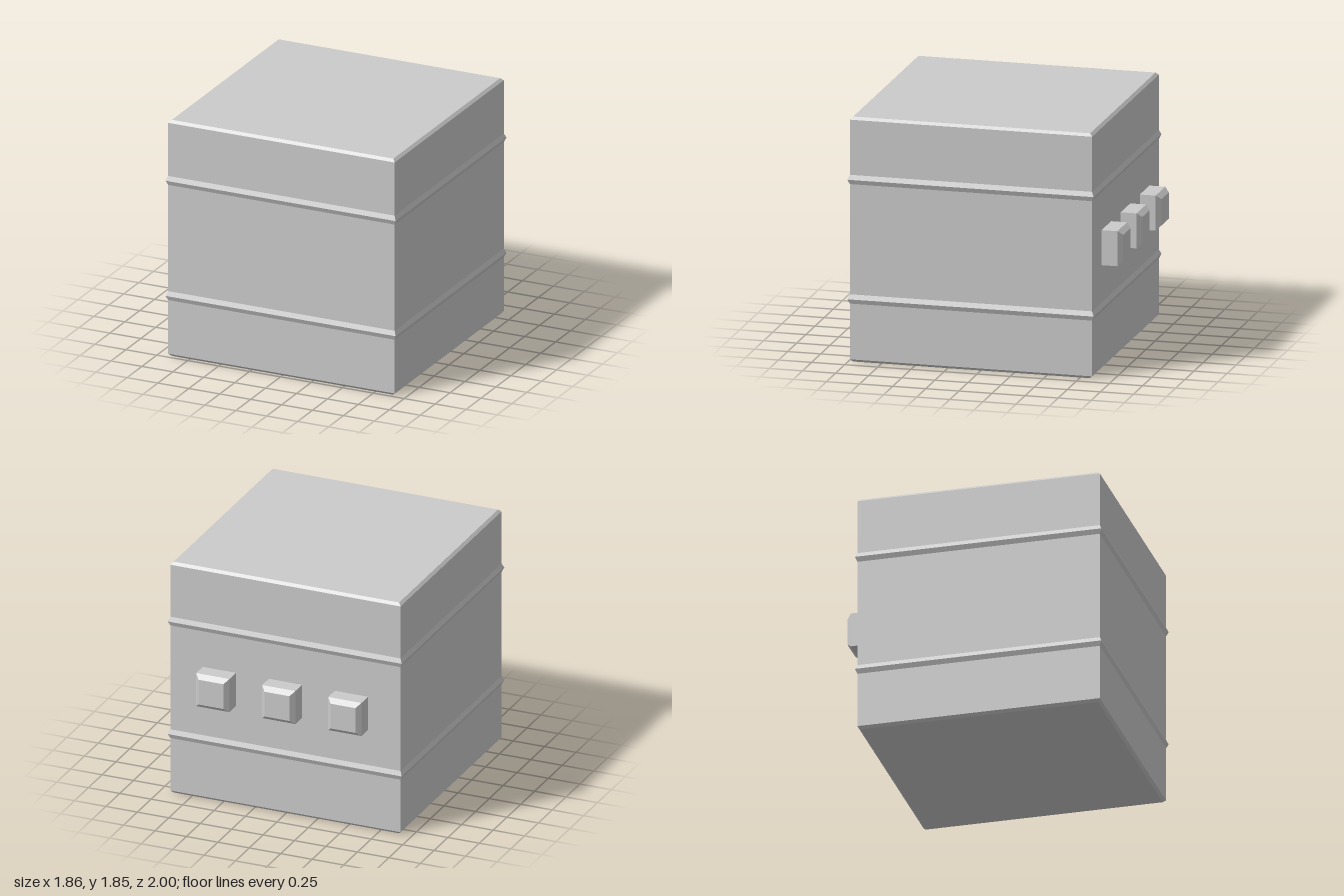
import * as THREE from 'three';

const material = new THREE.MeshStandardMaterial({ color: 0xcccccc, flatShading: true });

// Square solid from a profile of [half width, height], listed bottom to top.
function squareLathe(profile) {
  const points = profile.map(([half, y]) => new THREE.Vector2(half * Math.SQRT2, y));
  return new THREE.LatheGeometry(points, 4, Math.PI / 4);
}

function addMesh(parent, name, geometry, x, y, z) {
  const mesh = new THREE.Mesh(geometry, material);
  mesh.name = name;
  mesh.position.set(x, y, z);
  parent.add(mesh);
}

export function createModel() {
  const group = new THREE.Group();
  group.name = 'crate';

  const half = 0.915, height = 1.845, bevel = 0.02, centreZ = 0.07;

  // Block with bevelled top and bottom edges
  addMesh(group, 'body', squareLathe([
    [0, 0], [half - bevel, 0], [half, bevel],
    [half, height - bevel], [half - bevel, height], [0, height],
  ]), 0, 0, centreZ);

  // Two pointed ridges running round the block
  const ridge = squareLathe([[half, -0.035], [half + 0.015, 0], [half, 0.035]]);
  addMesh(group, 'lowerRidge', ridge, 0, 0.475, centreZ);
  addMesh(group, 'upperRidge', ridge, 0, 1.375, centreZ);

  // Row of three bevelled studs on the back
  const stud = squareLathe([[0.132, -0.01], [0.132, 0.12], [0.099, 0.155], [0, 0.155]]);
  stud.rotateX(-Math.PI / 2);
  ['rightStud', 'middleStud', 'leftStud'].forEach((name, i) => {
    addMesh(group, name, stud, (i - 1) * 0.525, 0.924, centreZ - half);
  });

  return group;
}
